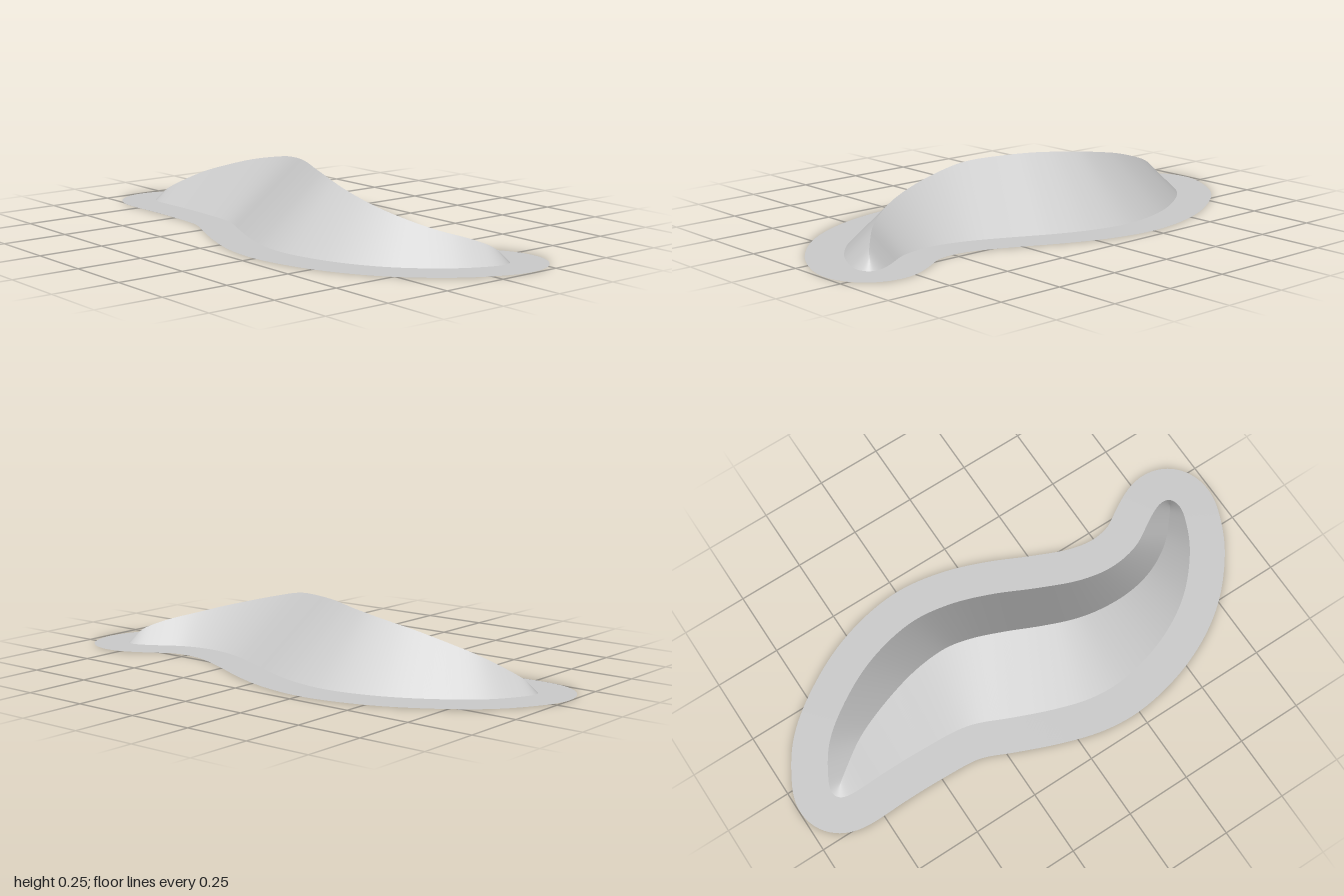
import * as THREE from 'three';

const SAMPLES = 800;
const FLANGE_WIDTH = 0.134;

// S-shaped foot of the ridge as [x, z]: down the right edge, back up the left
const OUTLINE = [
  [-0.09, -0.868], [-0.02, -0.84], [0.085, -0.77], [0.19, -0.635], [0.275, -0.465],
  [0.317, -0.265], [0.298, -0.105], [0.245, 0.05], [0.172, 0.205], [0.105, 0.37],
  [0.085, 0.5], [0.108, 0.625], [0.167, 0.725], [0.203, 0.8], [0.2, 0.843], [0.148, 0.859],
  [0.085, 0.84], [-0.02, 0.785], [-0.165, 0.65], [-0.263, 0.475], [-0.313, 0.265],
  [-0.307, 0.13], [-0.265, -0.015], [-0.207, -0.16], [-0.145, -0.31], [-0.129, -0.5],
  [-0.127, -0.66], [-0.13, -0.8], [-0.122, -0.85],
];

function sampleOutline() {
  const curve = new THREE.CatmullRomCurve3(
    OUTLINE.map(([x, z]) => new THREE.Vector3(x, 0, z)), true, 'centripetal');
  let pts = curve.getSpacedPoints(SAMPLES).slice(0, SAMPLES);
  // even out the curvature between control points
  for (let pass = 0; pass < 40; pass++) {
    pts = pts.map((p, i) => p.clone().multiplyScalar(2)
      .add(pts[(i + 1) % SAMPLES]).add(pts[(i + SAMPLES - 1) % SAMPLES]).multiplyScalar(0.25));
  }
  return pts;
}

// Radius of the largest inscribed disc touching the outline at p
function inscribedRadius(p, n, pts) {
  let r = Infinity;
  for (const q of pts) {
    const dx = q.x - p.x, dz = q.z - p.z;
    const along = dx * n.x + dz * n.z;
    if (along > 1e-6) r = Math.min(r, (dx * dx + dz * dz) / (2 * along));
  }
  return r;
}

// Closed band of quads between two matching loops
function band(name, outer, inner, material) {
  const N = outer.length;
  const index = [];
  for (let i = 0; i < N; i++) {
    const j = (i + 1) % N;
    index.push(i, N + i, j, j, N + i, N + j);
  }
  const geometry = new THREE.BufferGeometry().setFromPoints([...outer, ...inner]);
  geometry.setIndex(index);
  geometry.computeVertexNormals();
  const mesh = new THREE.Mesh(geometry, material);
  mesh.name = name;
  return mesh;
}

export function createModel() {
  const group = new THREE.Group();
  group.name = 'curvedRidge';
  const material = new THREE.MeshStandardMaterial({ color: 0xcccccc, side: THREE.DoubleSide });

  const foot = sampleOutline();
  const inward = foot.map((p, i) => {
    const t = foot[(i + 1) % SAMPLES].clone().sub(foot[(i + SAMPLES - 1) % SAMPLES]).normalize();
    return new THREE.Vector3(-t.z, 0, t.x);
  });

  // 45 degree slopes rise from the foot and meet in a sharp crest
  const crest = foot.map((p, i) => {
    const r = inscribedRadius(p, inward[i], foot);
    return p.clone().addScaledVector(inward[i], r).setY(r);
  });
  group.add(band('ridgeSlopes', foot, crest, material));

  // flat flange of even width around the foot
  const rim = foot.map((p, i) => p.clone().addScaledVector(inward[i], -FLANGE_WIDTH));
  group.add(band('flange', rim, foot, material));

  return group;
}
